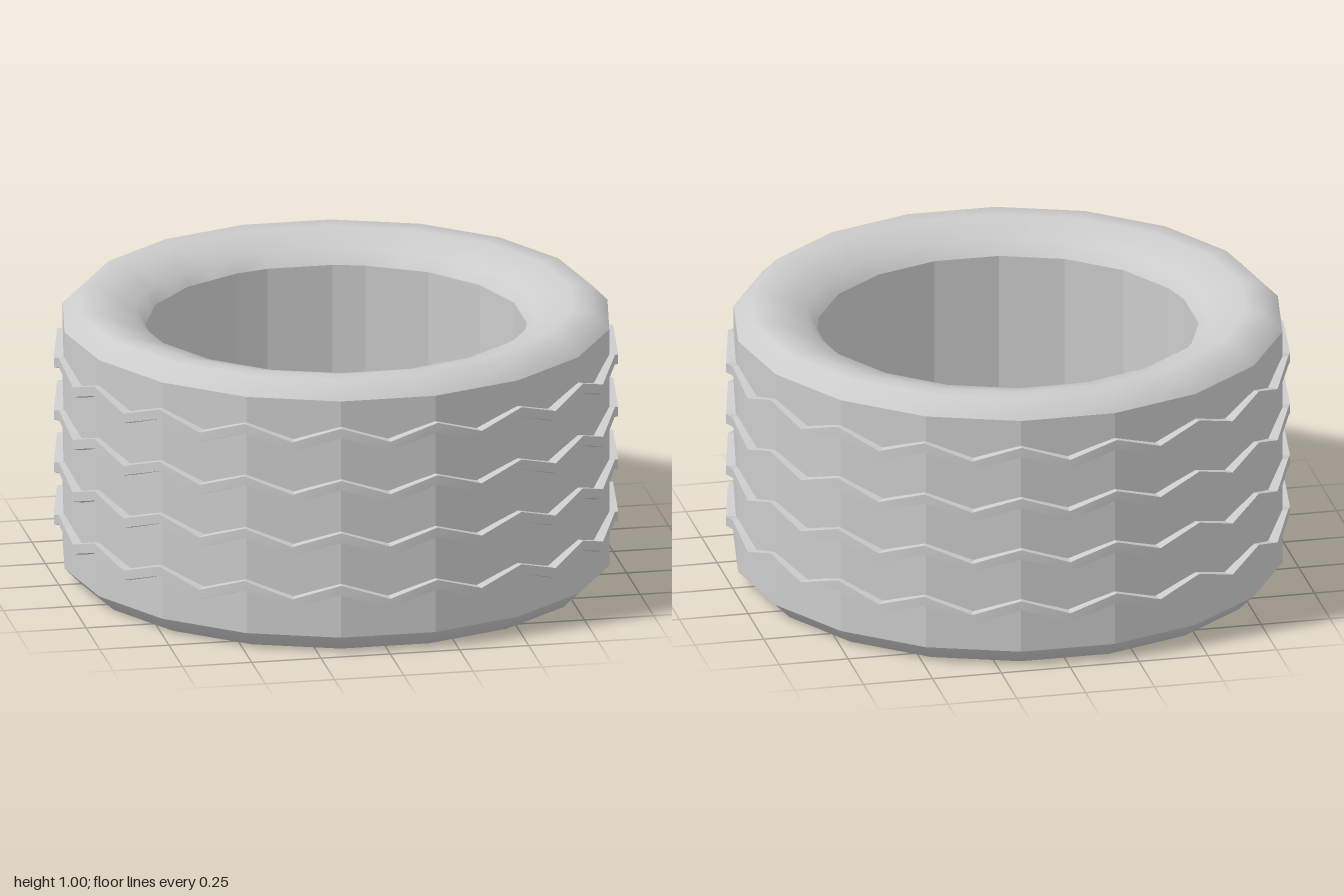
import * as THREE from 'three';
import { toCreasedNormals } from 'three/addons/utils/BufferGeometryUtils.js';

const STEPS = 36; // ten degrees per step
const FLAT = Math.cos(Math.PI / 18); // radius factor at the middle of an 18-gon side
const material = new THREE.MeshStandardMaterial({ color: 0xcccccc });

// Vertex rules: which steps are true corners of the ring's polygon
const allCorners = () => true;
const outerCorners = (i) => i % 2 === 1;
const innerSteps = [1, 3, 5, 7, 8, 10, 12, 14, 16, 17];
const innerCorners = (i) => innerSteps.includes(Math.min(i, STEPS - i));

// Sweeps rows of [radius, y, cornerRule] around the y axis; wave shifts y per step
function ring(name, rows, crease, wave = () => 0) {
  const positions = [];
  const index = [];
  rows.forEach(([radius, y, corners]) => {
    for (let i = 0; i < STEPS; i++) {
      const a = (i / STEPS) * Math.PI * 2;
      const r = radius * (corners(i) ? 1 : FLAT);
      positions.push(r * Math.sin(a), y + wave(i), r * Math.cos(a));
    }
  });
  for (let j = 0; j < rows.length - 1; j++) {
    for (let i = 0; i < STEPS; i++) {
      const k = (i + 1) % STEPS;
      const a = j * STEPS + i, b = j * STEPS + k;
      const c = b + STEPS, d = a + STEPS;
      index.push(a, b, c, a, c, d);
    }
  }
  const geometry = new THREE.BufferGeometry();
  geometry.setAttribute('position', new THREE.Float32BufferAttribute(positions, 3));
  geometry.setIndex(index);
  const mesh = new THREE.Mesh(toCreasedNormals(geometry, crease), material);
  mesh.name = name;
  return mesh;
}

export function createModel() {
  const group = new THREE.Group();
  group.name = 'tire';

  // Faceted tread and inner wall
  group.add(ring('tread', [[0.98, 0.06, outerCorners], [0.98, 0.94, outerCorners]], 0.3));
  group.add(ring('innerWall', [[0.676, 0.91, innerCorners], [0.676, 0.09, innerCorners]], 0.15));

  // Rounded sidewalls, from shoulder to inner lip
  const sidewall = [
    [0.98, 0.94, outerCorners],
    [0.92, 1, outerCorners],
    [0.85, 1, outerCorners],
    [0.716, 0.96, outerCorners],
    [0.676, 0.91, innerCorners],
  ];
  const mirrored = sidewall.map(([r, y, c]) => [r, 1 - y, c]).reverse();
  group.add(ring('topSidewall', sidewall, 0.9));
  group.add(ring('bottomSidewall', mirrored, 0.9));

  // Four zigzag ribs around the tread
  const zigzag = (i) => (i % 2 ? 0.055 : 0);
  for (let n = 0; n < 4; n++) {
    const y = 0.165 + n * 0.195;
    const profile = [
      [0.95, y - 0.005], [1, y + 0.005], [1, y + 0.04], [0.95, y + 0.042], [0.95, y - 0.005],
    ].map(([r, h]) => [r, h, allCorners]);
    group.add(ring(`treadRib${n + 1}`, profile, 0.3, zigzag));
  }
  return group;
}
